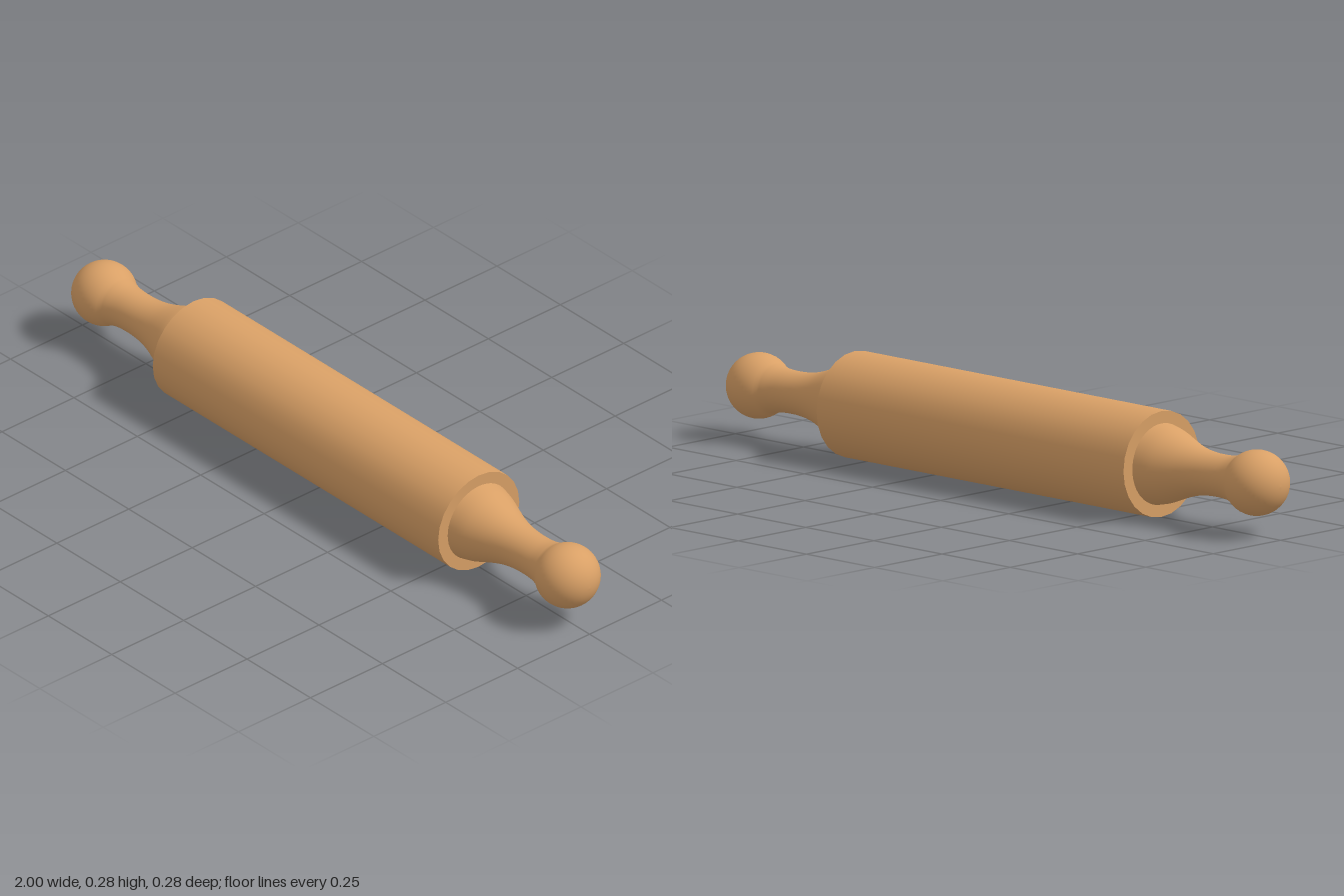
import * as THREE from 'three';

export function createModel() {
  const group = new THREE.Group();
  const wood = new THREE.MeshStandardMaterial({ color: 0xd9a066 });
  const radius = 0.141, halfLength = 0.563;

  // Main roller, lying along x
  const roller = new THREE.Mesh(new THREE.CylinderGeometry(radius, radius, halfLength * 2, 24), wood);
  roller.name = 'roller';
  roller.rotation.z = -Math.PI / 2;
  roller.position.y = radius;
  group.add(roller);

  // Handle profile: flared neck, as (radius, distance from the middle)
  const neck = new THREE.SplineCurve([
    [0.108, halfLength], [0.099, 0.6], [0.084, 0.64], [0.07, 0.68], [0.061, 0.72],
    [0.057, 0.76], [0.057, 0.8], [0.06, 0.83], [0.067, 0.857],
  ].map(([r, d]) => new THREE.Vector2(r, d)));
  const profile = neck.getPoints(24);

  // Rounded knob continuing the neck to the tip
  const knobRadius = 0.087, knobCentre = 1 - knobRadius;
  const start = Math.asin((0.857 - knobCentre) / knobRadius);
  for (let i = 1; i <= 20; i++) {
    const a = start + (Math.PI / 2 - start) * i / 20;
    profile.push(new THREE.Vector2(Math.max(0, knobRadius * Math.cos(a)), knobCentre + knobRadius * Math.sin(a)));
  }
  const handleGeometry = new THREE.LatheGeometry(profile, 48);

  // One handle at each end
  for (const side of [1, -1]) {
    const handle = new THREE.Mesh(handleGeometry, wood);
    handle.name = side > 0 ? 'leftHandle' : 'rightHandle';
    handle.rotation.z = -side * Math.PI / 2;
    handle.position.y = radius;
    group.add(handle);
  }
  return group;
}
